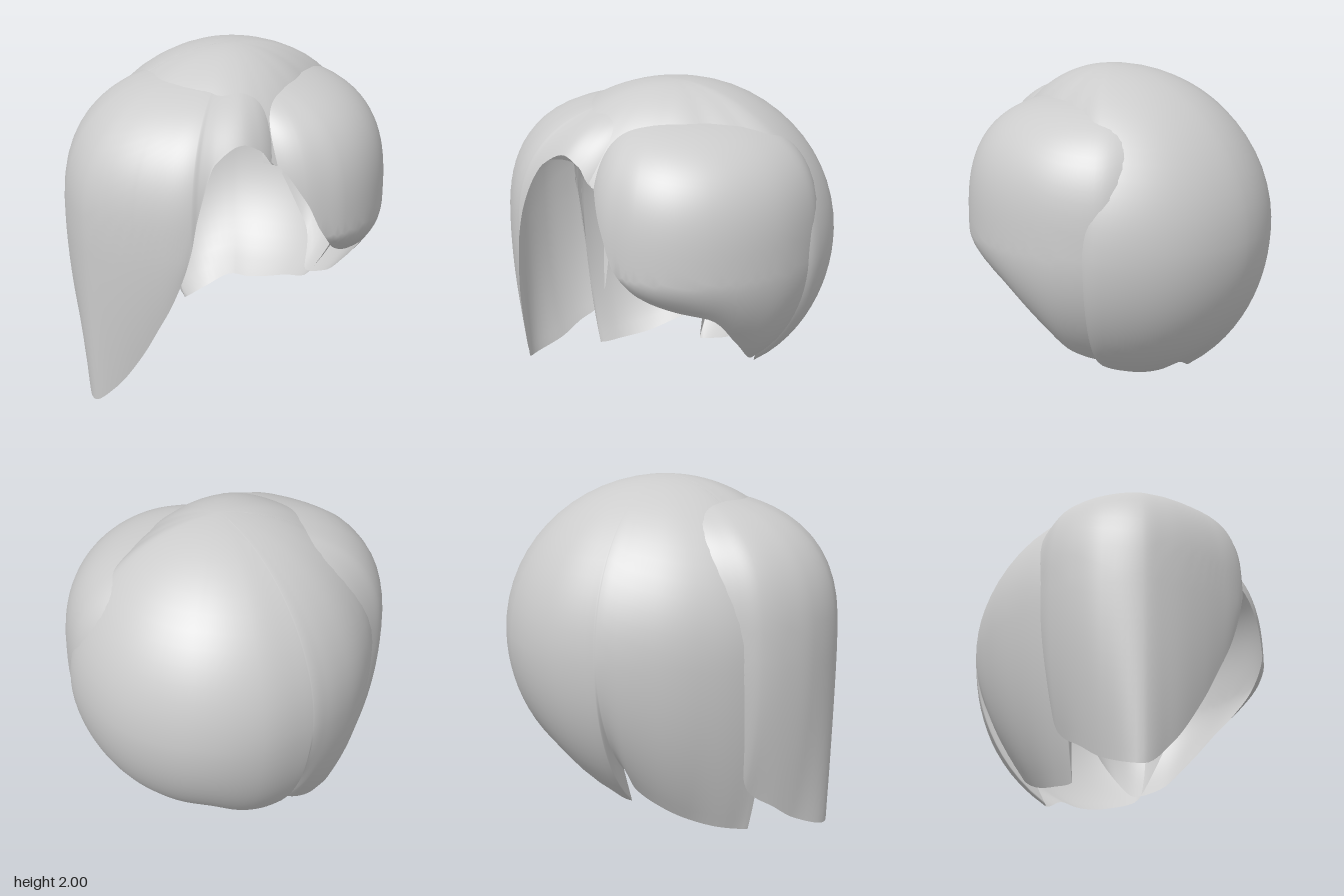
import * as THREE from 'three';
import { mergeVertices } from 'three/addons/utils/BufferGeometryUtils.js';

const CENTRE_Y = 1.08; // height of the widest ring

// Smooth interpolation without overshoot between columns of a table
function makeSampler(rows, k) {
  const slope = i => (rows[i + 1][k] - rows[i][k]) / (rows[i + 1][0] - rows[i][0]);
  const tangent = i => {
    if (i === 0 || i === rows.length - 1) return slope(i === 0 ? 0 : i - 1);
    const a = slope(i - 1), b = slope(i);
    return a * b <= 0 ? 0 : (2 * a * b) / (a + b);
  };
  return (i, t) => {
    const w = rows[i + 1][0] - rows[i][0], t2 = t * t, t3 = t2 * t;
    return (2 * t3 - 3 * t2 + 1) * rows[i][k] + (t3 - 2 * t2 + t) * w * tangent(i)
      + (3 * t2 - 2 * t3) * rows[i + 1][k] + (t3 - t2) * w * tangent(i + 1);
  };
}

// Rounded shell around the vertical axis. Each row of the table is
// [angle from +x towards the back, height of the hem, widest radius, radius at the hem].
function hairShell(table, height, power, start) {
  const rows = table.map(([a, y, R, r = R]) => [a, y, R, r]);
  const [hem, wide, hemRadius] = [1, 2, 3].map(k => makeSampler(rows, k));
  const N = 28, STEPS = 6, pos = [], index = [];
  let columns = 0;
  for (let i = 0; i < rows.length - 1; i++) {
    const last = i === rows.length - 2;
    for (let k = 0; k < STEPS + (last ? 1 : 0); k++, columns++) {
      const t = k / STEPS;
      const angle = THREE.MathUtils.degToRad(THREE.MathUtils.lerp(rows[i][0], rows[i + 1][0], t));
      const yb = hem(i, t), R = wide(i, t), rb = hemRadius(i, t);
      const drop = CENTRE_Y - yb;
      const depth = drop / Math.sqrt(Math.max(1 - (rb / R) ** 2, 0.002));
      const end = drop > 0 ? 1 + drop
        : Math.acos(Math.min(1, (-drop / height) ** (power / 2))) / (Math.PI / 2);
      for (let j = 0; j <= N; j++) {
        const s = start + (end - start) * j / N;
        let y, r;
        if (s <= 1) {
          const phi = s * Math.PI / 2;
          y = CENTRE_Y + height * Math.max(0, Math.cos(phi)) ** (2 / power);
          r = R * Math.sin(phi) ** (2 / power);
        } else {
          y = CENTRE_Y - (s - 1);
          r = R * Math.sqrt(Math.max(0, 1 - ((s - 1) / depth) ** 2));
        }
        pos.push(r * Math.cos(angle), y, -r * Math.sin(angle));
      }
    }
  }
  for (let i = 0; i < columns - 1; i++) {
    for (let j = 0; j < N; j++) {
      const p = i * (N + 1) + j, q = p + N + 1;
      index.push(p, p + 1, q, q, p + 1, q + 1);
    }
  }
  let geometry = new THREE.BufferGeometry();
  geometry.setAttribute('position', new THREE.Float32BufferAttribute(pos, 3));
  geometry.setIndex(index);
  geometry = mergeVertices(geometry, 1e-4);
  geometry.computeVertexNormals();
  return geometry;
}

export function createModel() {
  const group = new THREE.Group();
  group.name = 'hair';
  const material = new THREE.MeshStandardMaterial({ color: 0xcccccc, side: THREE.DoubleSide });
  material.name = 'light grey';
  const add = (name, ...args) => {
    const mesh = new THREE.Mesh(hairShell(...args), material);
    mesh.name = name;
    group.add(mesh);
  };

  // Crown, back and the two pointed locks on the right side
  add('crownAndBack', [
    [-57, 1.5, 0.78], [-40, 1.45, 0.72], [-20, 1.4, 0.68], [5, 1.3, 0.69],
    [29, 0.7, 0.81, 0.7], [44, 0.32, 0.94, 0.56], [60, 0.27, 0.955, 0.53],
    [75, 0.235, 0.965, 0.49], [90, 0.22, 0.97, 0.47], [102, 0.23, 0.975, 0.48],
    [125, 0.15, 0.96, 0.48], [144, 0.11, 0.93, 0.48],
    [145, 0.35, 0.93, 0.6], [152, 0.25, 0.92, 0.62], [165, 0.16, 0.91, 0.64],
    [180, 0.08, 0.91, 0.66], [195, 0.03, 0.92, 0.72], [206, 0.01, 0.93, 0.78],
    [207, 0.5, 0.93, 0.85], [212, 1.3, 0.93], [232, 1.4, 0.96], [250, 1.5, 0.93],
    [270, 1.66, 0.91], [290, 1.66, 0.84], [303, 1.5, 0.78],
  ], 0.92, 2, 0);

  // Long swept fringe at the front, tapering to a point
  add('sweptFringe', [
    [182, 1.1, 0.8], [194, 0.75, 0.9, 0.87], [201.7, 0.28, 0.97, 0.84],
    [212, 0.16, 1.02, 0.9], [220, 0.07, 1.05, 0.95], [232, 0, 1.07, 1.05],
    [240, 0.12, 1.05, 1.0], [251.5, 0.4, 1.01, 0.96], [258, 0.6, 0.99, 0.955],
    [264, 0.8, 0.975, 0.955], [270, 1.1, 0.95], [272, 1.3, 0.93],
    [277, 1.57, 0.9], [287.5, 1.65, 0.87], [296, 1.6, 0.8], [303, 1.5, 0.725],
    [307, 1.5, 0.67],
  ], 0.83, 2.7, 0.1);

  // Puffed side section on the left
  add('sideSection', [
    [-61, 1.5, 0.67], [-57, 1.5, 0.72], [-46, 1.3, 0.8], [-39.5, 1.1, 0.83],
    [-30, 0.95, 0.87, 0.8], [-15, 0.86, 0.9, 0.776], [-2, 0.82, 0.91, 0.8],
    [14, 0.6, 0.915, 0.71], [29, 0.42, 0.92, 0.63], [44, 0.36, 0.92, 0.57],
    [60, 0.6, 0.86, 0.72], [75, 0.9, 0.75, 0.72],
  ], 0.77, 3, 0.1);

  return group;
}
